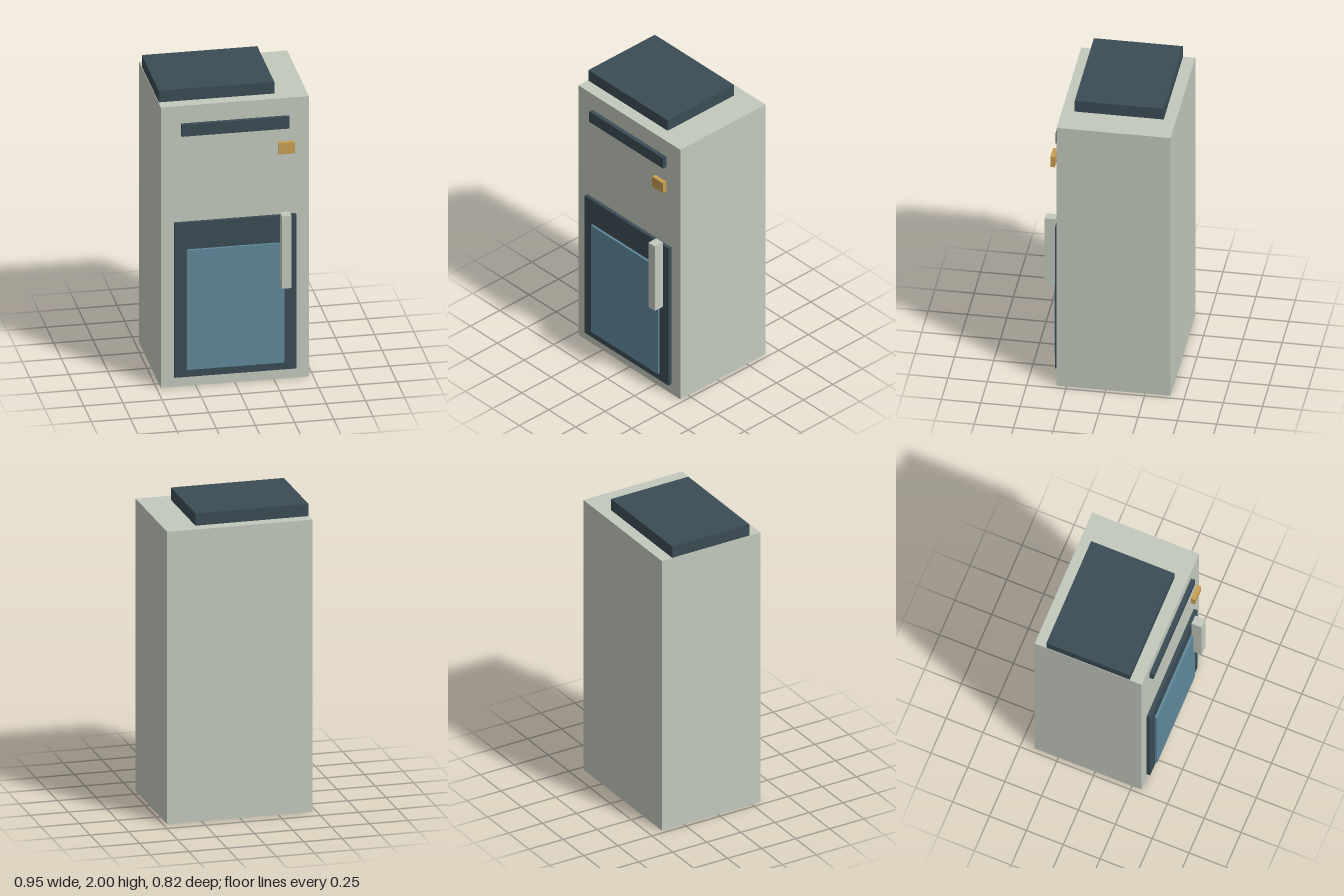
import * as THREE from 'three';

const material = (name, color) => {
  const m = new THREE.MeshStandardMaterial({ color });
  m.name = name;
  return m;
};

export function createModel() {
  const group = new THREE.Group();
  group.name = 'cabinet';

  const shell = material('pale grey green', 0xc3c9bd);
  const dark = material('dark slate', 0x3a4c55);
  const glass = material('blue glass', 0x60889c);
  const amber = material('amber', 0xc99e52);

  // Box given by its extents along each axis
  const box = (name, mat, [x0, x1], [y0, y1], [z0, z1]) => {
    const mesh = new THREE.Mesh(new THREE.BoxGeometry(x1 - x0, y1 - y0, z1 - z0), mat);
    mesh.position.set((x0 + x1) / 2, (y0 + y1) / 2, (z0 + z1) / 2);
    mesh.name = name;
    group.add(mesh);
  };

  // Main housing and the offset unit on its roof
  box('body', shell, [-0.473, 0.473], [0, 1.92], [-0.411, 0.314]);
  box('topUnit', dark, [-0.47, 0.267], [1.92, 2], [-0.333, 0.233]);

  // Upper front details
  box('ventStrip', dark, [-0.343, 0.343], [1.72, 1.8], [0.314, 0.341]);
  box('indicator', amber, [0.272, 0.373], [1.56, 1.637], [0.341, 0.37]);

  // Door with window and vertical handle
  box('door', dark, [-0.389, 0.389], [0.072, 1.127], [0.314, 0.338]);
  box('window', glass, [-0.313, 0.308], [0.126, 0.945], [0.338, 0.354]);
  box('handle', shell, [0.282, 0.342], [0.658, 1.153], [0.342, 0.411]);

  return group;
}
